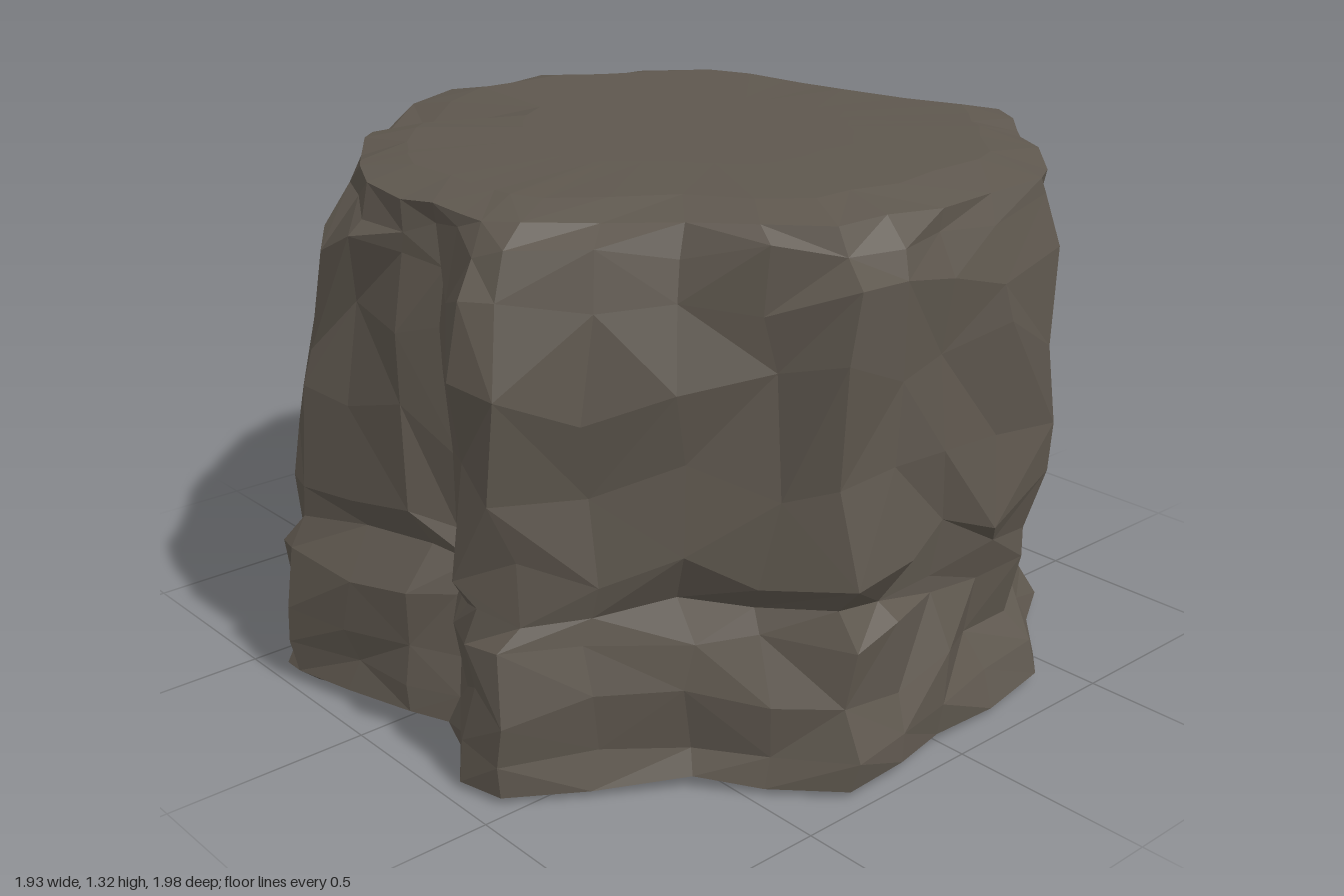
import * as THREE from 'three';

// widest plan outline [x, z], running from the front round by the left side
const OUTLINE = [
  [0.03, 0.91], [0.13, 0.86], [0.25, 0.91], [0.35, 0.96], [0.46, 0.95], [0.57, 0.77], [0.69, 0.58],
  [0.83, 0.46], [0.98, 0.34], [0.97, 0.18], [0.95, 0], [0.93, -0.2], [0.93, -0.4], [0.83, -0.48],
  [0.7, -0.62], [0.61, -0.76], [0.51, -0.78], [0.43, -0.88], [0.33, -1], [0.14, -0.97], [-0.1, -0.92],
  [-0.2, -0.88], [-0.38, -0.87], [-0.54, -0.86], [-0.68, -0.74], [-0.78, -0.54], [-0.89, -0.43],
  [-0.95, -0.27], [-0.98, -0.13], [-0.96, 0.05], [-0.91, 0.24], [-0.8, 0.43], [-0.7, 0.55],
  [-0.61, 0.68], [-0.5, 0.83], [-0.4, 0.97], [-0.33, 1], [-0.15, 0.95],
];

// rounder outline of the top plate, in the same direction
const TOP = [
  [-0.08, 0.84], [0.34, 0.8], [0.65, 0.43], [0.85, 0.36], [0.86, 0], [0.84, -0.4], [0.69, -0.57],
  [0.5, -0.72], [0.32, -0.9], [0.14, -0.86], [-0.2, -0.78], [-0.6, -0.74], [-0.76, -0.5],
  [-0.9, -0.2], [-0.9, 0.1], [-0.82, 0.27], [-0.63, 0.48], [-0.38, 0.7],
];

// strata: [height, scale, blend towards the top plate, roughness, height jitter]
const LAYERS = [
  [0.0, 0.93, 0, 0.03, 0], [0.025, 1, 0, 0.03, 0.01], [0.1, 0.99, 0, 0.04, 0.02],
  [0.22, 0.99, 0, 0.06, 0.035], [0.35, 0.99, 0, 0.05, 0.03], [0.43, 0.97, 0, 0.06, 0.03],
  [0.53, 0.99, 0, 0.06, 0.04], [0.73, 0.99, 0.05, 0.06, 0.08], [0.95, 0.99, 0.1, 0.06, 0.08],
  [1.13, 0.99, 0.25, 0.05, 0.05], [1.23, 1, 0.65, 0.04, 0.025], [1.285, 1, 1, 0.02, 0.01],
  [1.312, 0.86, 1, 0.03, 0.002], [1.318, 0.5, 1, 0.03, 0],
];

// chipped hollows: [angle in degrees, height, angular spread, vertical spread, depth]
const HOLLOWS = [
  [8, 0.65, 6, 0.5, 0.07],      // front crevice
  [-30, 1.0, 20, 0.4, 0.11],    // broken front corner
  [-52, 0.68, 12, 0.1, 0.08],
  [-8, 0.48, 25, 0.06, 0.05],
  [-62, 0.05, 12, 0.15, 0.1],   // undercut foot
  [32, 0.6, 8, 0.2, 0.06],
  [62, 0.41, 24, 0.05, 0.07],   // ledge on the left, dropping to the back
  [105, 0.32, 24, 0.05, 0.07],
  [110, 0.18, 20, 0.05, 0.04],
  [128, 1.05, 10, 0.15, 0.06],
  [165, 0.21, 32, 0.05, 0.14],  // ledges at the back
  [-160, 0.42, 20, 0.06, 0.06],
  [-95, 0.22, 30, 0.1, 0.09],   // ledge on the right
  [-135, 0.75, 16, 0.12, 0.05],
];

function seeded(seed) {
  return () => {
    seed = (seed * 16807) % 2147483647;
    return seed / 2147483647;
  };
}

function hollowDepth(angle, y) {
  let depth = 0;
  for (const [a, h, spreadA, spreadY, d] of HOLLOWS) {
    const turn = ((angle - a + 540) % 360) - 180;
    depth += d * Math.exp(-((turn / spreadA) ** 2) - ((y - h) / spreadY) ** 2);
  }
  return depth;
}

// how far [x, z] must be scaled from the centre to meet the top plate's edge
function topReach(x, z) {
  for (let i = 0; i < TOP.length; i++) {
    const [ax, az] = TOP[i];
    const [bx, bz] = TOP[(i + 1) % TOP.length];
    const ex = bx - ax, ez = bz - az;
    const cross = x * ez - z * ex;
    const reach = (ax * ez - az * ex) / cross;
    const along = (ax * z - az * x) / cross;
    if (reach > 0 && along >= 0 && along <= 1) return reach;
  }
  return 0.9;
}

function rockGeometry() {
  const random = seeded(4217);
  const n = OUTLINE.length;
  const points = [];
  const faces = [];

  // one irregular ring for each stratum
  LAYERS.forEach(([height, scale, blend, rough, lift]) => {
    OUTLINE.forEach(([x, z]) => {
      const angle = THREE.MathUtils.radToDeg(Math.atan2(x, z));
      let y = height + (random() - 0.5) * 2 * lift;
      // shallow chip in the top
      if (height > 1.25 && scale > 0.6) y -= 0.06 * Math.exp(-(((angle + 64) / 9) ** 2));
      const reach = THREE.MathUtils.lerp(1, topReach(x, z), blend);
      const cut = blend < 1 ? hollowDepth(angle, y) : 0;
      const s = scale * reach - rough * random() ** 1.6 - cut;
      const slide = (random() - 0.5) * rough * 0.9;
      points.push(x * s + z * slide, y, z * s - x * slide);
    });
  });

  // walls and shoulder, with the diagonal of each facet chosen at random
  for (let j = 0; j < LAYERS.length - 1; j++) {
    for (let i = 0; i < n; i++) {
      const k = (i + 1) % n;
      const a = j * n + i, b = j * n + k, c = b + n, d = a + n;
      if (random() < 0.5) faces.push(a, b, c, a, c, d);
      else faces.push(a, b, d, b, c, d);
    }
  }

  // flat middle of the top, and the base
  const base = points.length / 3;
  points.push(0, 0, 0, 0, 1.318, 0);
  const rim = (LAYERS.length - 1) * n;
  for (let i = 0; i < n; i++) {
    const k = (i + 1) % n;
    faces.push(base, k, i, base + 1, rim + i, rim + k);
  }

  const geometry = new THREE.BufferGeometry();
  geometry.setAttribute('position', new THREE.Float32BufferAttribute(points, 3));
  geometry.setIndex(faces);
  const faceted = geometry.toNonIndexed();
  faceted.computeVertexNormals();
  return faceted;
}

export function createModel() {
  const group = new THREE.Group();
  group.name = 'rock';
  const stone = new THREE.MeshStandardMaterial({ color: 0x5e574e, flatShading: true });
  const boulder = new THREE.Mesh(rockGeometry(), stone);
  boulder.name = 'boulder';
  group.add(boulder);
  return group;
}
